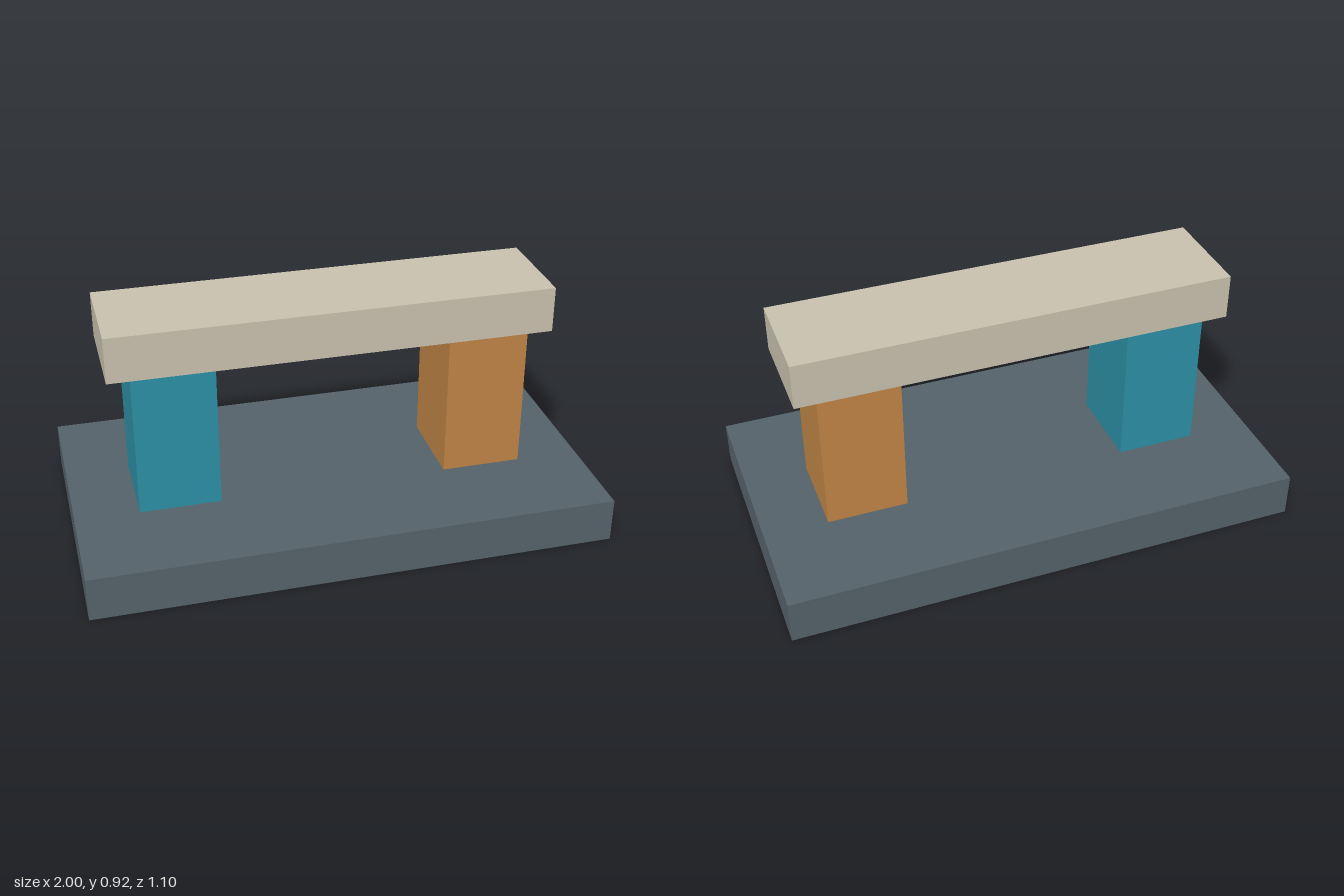
import * as THREE from 'three';

const flat = (name, color) => {
  const material = new THREE.MeshStandardMaterial({ color });
  material.name = name;
  return material;
};

// Box standing on height y, centred on x and z = 0
function block(name, material, width, height, depth, x, y) {
  const mesh = new THREE.Mesh(new THREE.BoxGeometry(width, height, depth), material);
  mesh.name = name;
  mesh.position.set(x, y + height / 2, 0);
  return mesh;
}

export function createModel() {
  const slate = flat('slate', 0x55626a);
  const teal = flat('teal', 0x2c8fa5);
  const orange = flat('orange', 0xc08445);
  const stone = flat('stone', 0xc9c1ae);

  const baseHeight = 0.173;
  const pillarHeight = 0.573;

  const model = new THREE.Group();
  model.name = 'beamOnPillars';

  // Base slab
  model.add(block('base', slate, 2, baseHeight, 1.095, 0, 0));

  // Pillars, one colour per side
  for (const [name, material, side] of [['leftPillar', orange, 1], ['rightPillar', teal, -1]]) {
    model.add(block(name, material, 0.311, pillarHeight, 0.342, side * 0.6, baseHeight));
  }

  // Beam across the pillars
  model.add(block('beam', stone, 1.684, 0.178, 0.397, 0, baseHeight + pillarHeight));

  return model;
}
